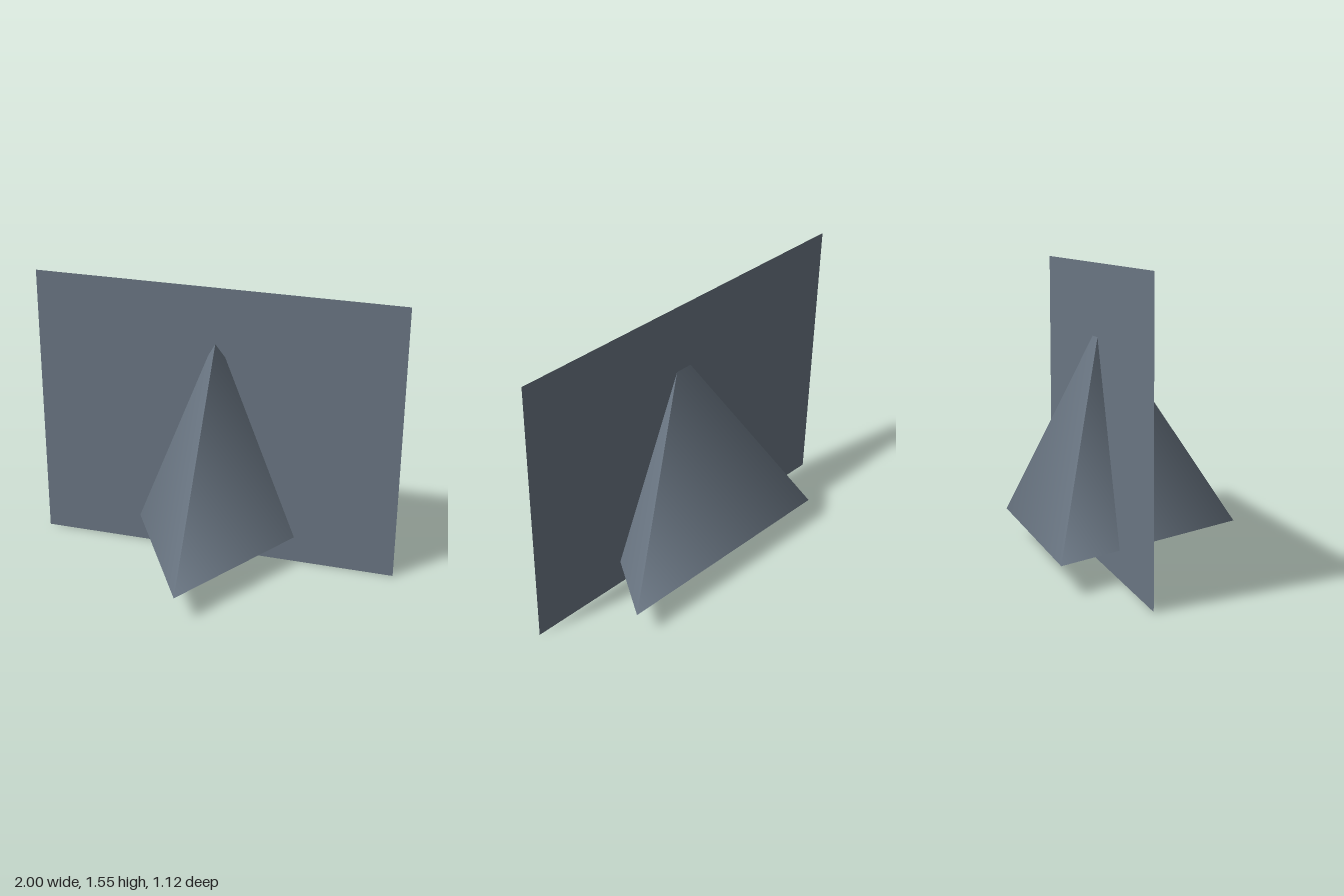
import * as THREE from 'three';

export function createModel() {
  const group = new THREE.Group();
  const slate = 0x6b7784;

  // Three-sided pyramid with one corner pointing forward
  const radius = 0.745, height = 1.1, baseY = 0.15;
  const pyramid = new THREE.Mesh(
    new THREE.ConeGeometry(radius, height, 3),
    new THREE.MeshStandardMaterial({ color: slate })
  );
  pyramid.name = 'pyramid';
  pyramid.position.set(0, baseY + height / 2, -radius / 4);
  group.add(pyramid);

  // Thin upright panel cutting through the pyramid just behind its tip
  const panel = new THREE.Mesh(
    new THREE.PlaneGeometry(2, 1.55),
    new THREE.MeshStandardMaterial({ color: slate, side: THREE.DoubleSide })
  );
  panel.name = 'panel';
  panel.position.set(0, 1.55 / 2, -0.213);
  group.add(panel);

  return group;
}
